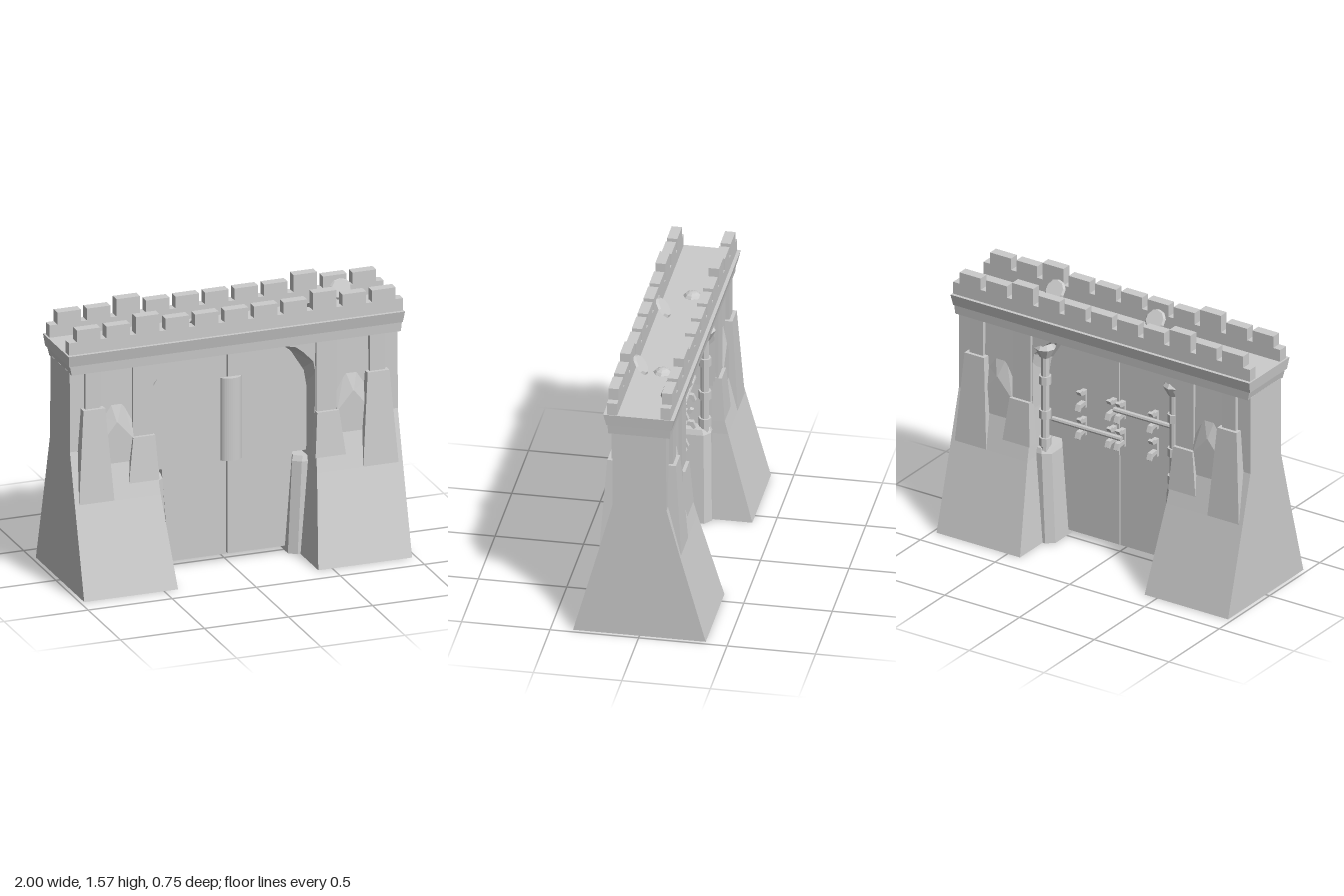
import * as THREE from 'three';

const stone = new THREE.MeshStandardMaterial({ color: 0xcccccc, flatShading: true });
stone.name = 'pale stone';
const stoneSheet = new THREE.MeshStandardMaterial({ color: 0xcccccc, flatShading: true, side: THREE.DoubleSide });
stoneSheet.name = 'pale stone sheet';

export function createModel() {
  const model = new THREE.Group();

  const add = (name, geometry, x = 0, y = 0, z = 0, material = stone) => {
    const mesh = new THREE.Mesh(geometry, material);
    mesh.name = name;
    mesh.position.set(x, y, z);
    model.add(mesh);
    return mesh;
  };
  const box = (name, x0, x1, y0, y1, z0, z1) =>
    add(name, new THREE.BoxGeometry(Math.abs(x1 - x0), y1 - y0, Math.abs(z1 - z0)),
      (x0 + x1) / 2, (y0 + y1) / 2, (z0 + z1) / 2);

  // Closed solid through convex rings, always wound outward
  const loft = (rings) => {
    const tris = [];
    const n = rings[0].length;
    for (let r = 0; r < rings.length - 1; r++) {
      const a = rings[r], b = rings[r + 1];
      for (let i = 0; i < n; i++) {
        const j = (i + 1) % n;
        tris.push([a[i], a[j], b[j]], [a[i], b[j], b[i]]);
      }
    }
    const bottom = rings[0], top = rings[rings.length - 1];
    for (let i = 1; i < n - 1; i++) {
      tris.push([bottom[0], bottom[i + 1], bottom[i]], [top[0], top[i], top[i + 1]]);
    }
    const v = (p) => new THREE.Vector3(...p);
    let volume = 0;
    for (const [a, b, c] of tris) volume += v(a).dot(v(b).cross(v(c)));
    if (volume < 0) tris.forEach((t) => t.reverse());
    const g = new THREE.BufferGeometry();
    g.setAttribute('position', new THREE.Float32BufferAttribute(tris.flat(2), 3));
    g.computeVertexNormals();
    return g;
  };
  const rect = (y, x0, x1, z0, z1) => [[x0, y, z1], [x1, y, z1], [x1, y, z0], [x0, y, z0]];
  const sheet = (a, b) => {
    const out = [];
    for (let i = 0; i < a.length - 1; i++) out.push(a[i], a[i + 1], b[i + 1], a[i], b[i + 1], b[i]);
    const g = new THREE.BufferGeometry();
    g.setAttribute('position', new THREE.Float32BufferAttribute(out.flat(), 3));
    g.computeVertexNormals();
    return g;
  };
  const plate = (points, depth) =>
    new THREE.ExtrudeGeometry(new THREE.Shape(points.map((p) => new THREE.Vector2(...p))),
      { depth, bevelEnabled: false });

  const doorArch = [[0.47, 0.98], [0.455, 1.07], [0.38, 1.19], [0.31, 1.245], [0.22, 1.268]];
  const faceArch = [[0.487, 1.08], [0.475, 1.15], [0.42, 1.21], [0.37, 1.25], [0.28, 1.27]];

  for (const s of [-1, 1]) {
    // Towers with flared feet
    add('tower', loft([
      rect(0, s * 0.417, s * 0.975, -0.375, 0.375),
      rect(0.52, s * 0.465, s * 0.975, -0.23, 0.23),
      rect(0.81, s * 0.48, s * 0.975, -0.153, 0.153),
      rect(1.28, s * 0.487, s * 0.975, -0.15, 0.15),
    ]));

    for (const f of [-1, 1]) {
      // Buttresses and pilasters on both faces
      add('outerButtress', loft([
        rect(0.52, s * 0.74, s * 0.95, f * 0.14, f * 0.231),
        rect(1.06, s * 0.78, s * 0.91, f * 0.14, f * 0.194),
      ]));
      box('outerPilaster', s * 0.80, s * 0.89, 1.0, 1.28, f * 0.14, f * 0.174);
      add('innerButtress', loft([
        rect(0.6, s * 0.464, s * 0.645, f * 0.14, f * 0.21),
        rect(0.86, s * 0.482, s * 0.612, f * 0.14, f * 0.19),
      ]));
      box('innerPilaster', s * 0.486, s * 0.605, 0.8, 1.28, f * 0.14, f * 0.17);

      // Hooded gable between the buttresses
      const hood = [[0.59, 0.72], [0.80, 0.72], [0.79, 1.0], [0.735, 1.08], [0.66, 1.08], [0.60, 0.97]];
      const gable = [[0.60, 0.72], [0.79, 0.72], [0.785, 0.86], [0.705, 0.96], [0.70, 0.96], [0.605, 0.85]];
      add('gable', loft([
        hood.map(([x, y]) => [s * x, y, f * 0.145]),
        gable.map(([x, y]) => [s * x, y, f * 0.178]),
      ]));

      // Flared arch soffit and its spandrel
      add('archSoffit', sheet(
        faceArch.map(([x, y]) => [s * x, y, f * 0.148]),
        doorArch.map(([x, y]) => [s * x, y, 0.02])), 0, 0, 0, stoneSheet);
      add('archSpandrel', sheet(
        faceArch.map(([x, y]) => [s * x, y, f * 0.148]),
        faceArch.map(([x]) => [s * x, 1.28, f * 0.148])), 0, 0, 0, stoneSheet);
    }

    // Door leaves: lower leaf and arched upper panel
    add('lowerDoor', plate([[s * 0.004, 0.04], [s * 0.345, 0.04], [s * 0.39, 0.62], [s * 0.004, 0.62]], 0.045));
    add('upperDoor', plate([[s * 0.004, 0.595], [s * 0.472, 0.595],
      ...doorArch.map(([x, y]) => [s * x, y]), [s * 0.004, 1.268]], 0.055), 0, 0, -0.005);

    // Faceted jamb pedestal
    const jamb = (y, xi, xo, zb, zf) => [
      [s * xo, y, zf], [s * (xi + 0.045), y, zf], [s * xi, y, zf - 0.035],
      [s * xi, y, zb + 0.035], [s * (xi + 0.045), y, zb], [s * xo, y, zb]];
    add('jambPedestal', loft([
      jamb(0, 0.355, 0.43, -0.15, 0.10),
      jamb(0.54, 0.385, 0.475, -0.14, 0.085),
      jamb(0.57, 0.395, 0.475, -0.13, 0.075),
    ]));

    // Hinge post with collars and flared capital
    const px = s * 0.43, pz = -0.105;
    add('hingePost', new THREE.CylinderGeometry(0.024, 0.024, 1.12, 8), px, 0.6, pz);
    for (const y of [0.61, 0.78, 0.99]) {
      add('postCollar', new THREE.CylinderGeometry(0.036, 0.036, 0.05, 8), px, y, pz);
    }
    add('postCapital', new THREE.CylinderGeometry(0.062, 0.03, 0.06, 8), px, 1.16, pz);
    add('capitalCap', new THREE.CylinderGeometry(0.04, 0.062, 0.03, 8), px, 1.205, pz);
  }

  // Half-round cover strip over the door seam
  add('seamCover', new THREE.CylinderGeometry(0.062, 0.062, 0.49, 16, 1, false, -Math.PI / 2, Math.PI),
    0.022, 0.845, 0.045).scale.z = 0.6;

  // Bar brackets on the back of the doors
  const hook = [[0, -0.055], [0.022, -0.055], [0.022, -0.035], [0.06, -0.04], [0.075, -0.06], [0.09, -0.05],
    [0.075, -0.015], [0.022, -0.012], [0.022, 0.03], [0.06, 0.035], [0.075, 0.06], [0.055, 0.065],
    [0.04, 0.055], [0, 0.055]];
  for (const y of [0.72, 0.89]) {
    for (const x of [-0.25, -0.03, 0.03, 0.23]) {
      add('barBracket', plate(hook, 0.028), x - 0.014, y, 0).rotation.y = Math.PI / 2;
    }
  }
  // Sliding bars
  for (const [x, y, length] of [[-0.2, 0.895, 0.42], [0.19, 0.725, 0.46]]) {
    add('doorBar', new THREE.CylinderGeometry(0.015, 0.015, length, 8), x, y, -0.045).rotation.z = Math.PI / 2;
  }

  // Cornice bands carrying the walkway
  add('lowerCornice', loft([rect(1.272, -0.972, 0.985, -0.174, 0.174), rect(1.328, -0.985, 0.99, -0.178, 0.178)]));
  add('upperCornice', loft([rect(1.328, -0.993, 0.993, -0.184, 0.184), rect(1.395, -1, 1, -0.2, 0.2)]));

  // Parapets with merlons, the third from each end taller
  for (const f of [-1, 1]) {
    box('parapet', -0.99, 0.995, 1.39, 1.468, f * 0.122, f * 0.18);
    for (let i = -5; i <= 5; i++) {
      const x = 0.004 + i * 0.1755;
      box('merlon', x - 0.07, x + 0.07, 1.46, Math.abs(i) === 3 ? 1.57 : 1.538, f * 0.122, f * 0.18);
    }
  }

  // Low domes on the walkway
  for (const x of [-0.435, 0.46]) {
    add('dome', new THREE.SphereGeometry(0.056, 8, 4, 0, Math.PI * 2, 0, Math.PI / 2), x, 1.38, -0.035)
      .scale.y = 0.75;
  }
  // Round discs leaning on the parapets
  for (const [x, y, z, tilt] of [[-0.18, 1.45, 0.08, -0.92], [0.49, 1.45, 0.08, -0.92], [0.735, 1.46, -0.103, 1.2]]) {
    add('leaningDisc', new THREE.CylinderGeometry(0.055, 0.065, 0.012, 10), x, y, z).rotation.x = tilt;
  }

  return model;
}
